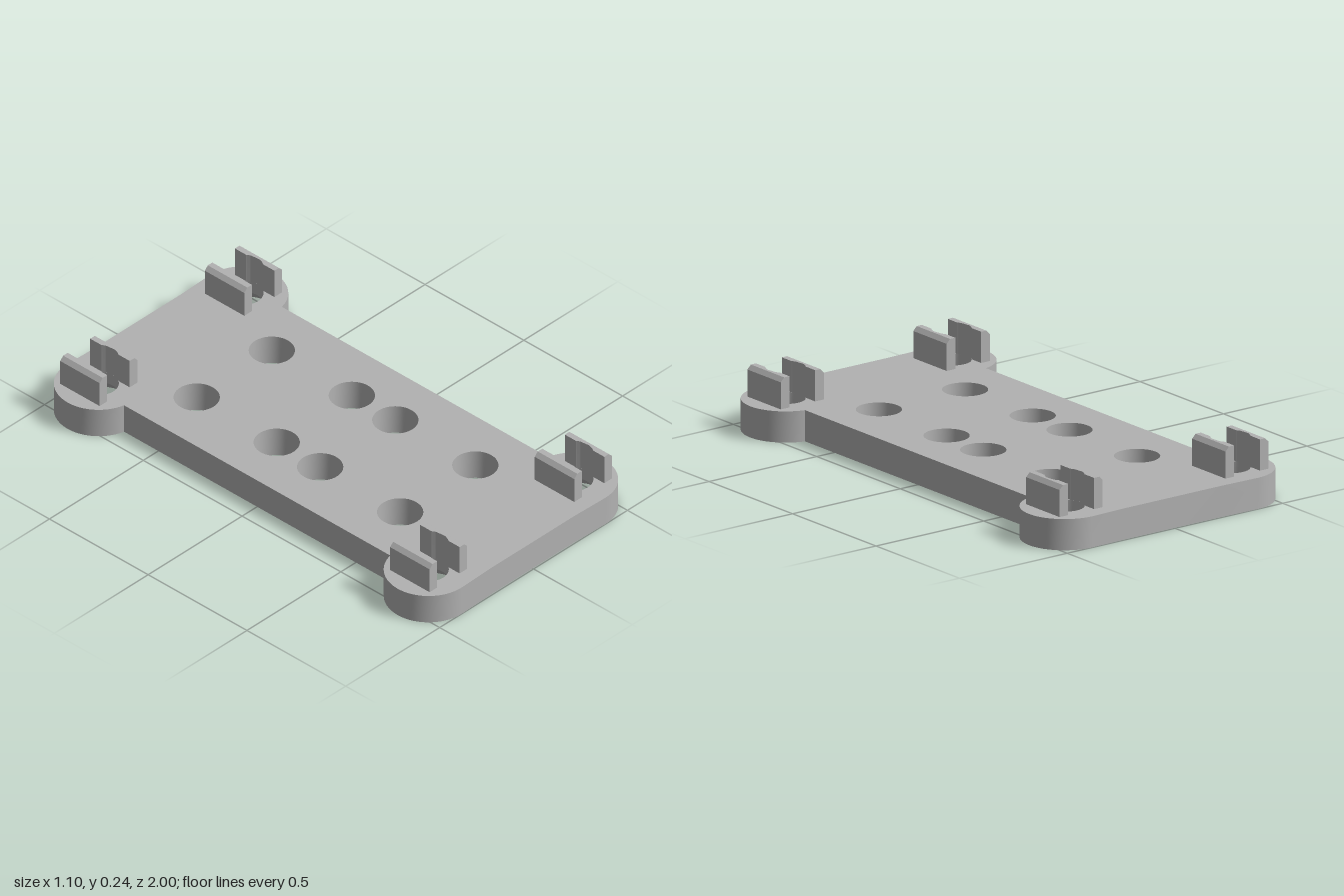
import * as THREE from 'three';
import { mergeGeometries, toCreasedNormals } from 'three/addons/utils/BufferGeometryUtils.js';

const PLATE_H = 0.12, TOTAL_H = 0.24;
const LOBE = { x: 0.385, z: 0.835, r: 0.165 };
const SCREW_R = 0.074, SINK_R = 0.143, SINK_H = 0.07;
const V = (x, y) => new THREE.Vector2(x, y);
const SIGNS = [-1, 1];

// Clockwise ring of plan points, so its wall faces into the hole
function ring(cx, cy, r, n = 48) {
  return Array.from({ length: n }, (_, i) => {
    const a = -i / n * Math.PI * 2;
    return V(cx + r * Math.cos(a), cy + r * Math.sin(a));
  });
}

// Wall between two matching plan loops at two heights
function wall(low, high, y0, y1) {
  const p = [];
  for (let i = 0; i < low.length; i++) {
    const j = (i + 1) % low.length;
    const a = [low[i].x, y0, -low[i].y], b = [low[j].x, y0, -low[j].y];
    const c = [high[j].x, y1, -high[j].y], d = [high[i].x, y1, -high[i].y];
    p.push(...a, ...b, ...c, ...a, ...c, ...d);
  }
  return new THREE.BufferGeometry().setAttribute('position', new THREE.Float32BufferAttribute(p, 3));
}

// Flat face of the plate with its holes, facing up or down
function cap(outline, holes, y, up) {
  const shape = new THREE.Shape(outline);
  holes.forEach(h => shape.holes.push(new THREE.Path(h)));
  const g = new THREE.ShapeGeometry(shape).toNonIndexed();
  g.deleteAttribute('uv');
  g.deleteAttribute('normal');
  return g.rotateX(up ? -Math.PI / 2 : Math.PI / 2).translate(0, y, 0);
}

// Outline: one corner lobe, mirrored across, then turned half round
function plateOutline() {
  const start = -Math.acos(0.035 / LOBE.r), n = 28, corner = [];
  for (let i = 0; i <= n; i++) {
    const a = start + (Math.PI / 2 - start) * i / n;
    corner.push(V(LOBE.x + LOBE.r * Math.cos(a), LOBE.z + LOBE.r * Math.sin(a)));
  }
  corner.push(V(0.22, 0.995));
  const half = [...corner, ...corner.slice().reverse().map(p => V(-p.x, p.y))];
  return [...half, ...half.map(p => V(-p.x, -p.y))];
}

function plateGeometry() {
  const outline = plateOutline();
  const plain = [], screw = [], sink = [];
  for (const sx of SIGNS) for (const sz of SIGNS) {
    for (const z of [0.11, 0.515]) plain.push(ring(sx * 0.2, sz * z, 0.085));
    screw.push(ring(sx * LOBE.x, sz * LOBE.z, SCREW_R));
    sink.push(ring(sx * LOBE.x, sz * LOBE.z, SINK_R));
  }
  const parts = [
    cap(outline, [...plain, ...screw], PLATE_H, true),
    cap(outline, [...plain, ...sink], 0, false),
    wall(outline, outline, 0, PLATE_H),
    ...plain.map(h => wall(h, h, 0, PLATE_H)),
    // Countersunk cone below, straight bore above
    ...screw.map((h, i) => wall(sink[i], h, 0, SINK_H)),
    ...screw.map(h => wall(h, h, SINK_H, PLATE_H)),
  ];
  return toCreasedNormals(mergeGeometries(parts), 0.5);
}

// Upright clip beside a screw hole: grooved inside, chamfered on the outer top edge
function clipGeometry() {
  const inner = 0.06, outer = 0.1, half = 0.1, chamfer = 0.016;
  const a = Math.acos(inner / SCREW_R);
  const shape = new THREE.Shape();
  shape.moveTo(outer, -half);
  shape.lineTo(outer, half);
  shape.lineTo(inner, half);
  shape.lineTo(inner, SCREW_R * Math.sin(a));
  shape.absarc(0, 0, SCREW_R, a, -a, true);
  shape.lineTo(inner, -half);
  const h = TOTAL_H - PLATE_H;
  const g = new THREE.ExtrudeGeometry(shape, { depth: h, steps: 2, bevelEnabled: false, curveSegments: 10 });
  g.rotateX(-Math.PI / 2);
  const p = g.attributes.position;
  for (let i = 0; i < p.count; i++) {
    const y = p.getY(i);
    if (y > h * 0.75) {
      if (p.getX(i) > outer - 0.001) p.setX(i, outer - chamfer);
    } else if (y > h * 0.25) p.setY(i, h - chamfer);
  }
  return toCreasedNormals(g, 0.5);
}

export function createModel() {
  const group = new THREE.Group();
  group.name = 'mountingPlate';
  const grey = new THREE.MeshStandardMaterial({ color: 0xb2b2b2 });
  grey.name = 'grey';

  const plate = new THREE.Mesh(plateGeometry(), grey);
  plate.name = 'basePlate';
  group.add(plate);

  // A facing pair of clips at each corner hole
  const clip = clipGeometry();
  for (const sx of SIGNS) for (const sz of SIGNS) {
    const pair = new THREE.Group();
    pair.name = 'clipPair';
    pair.position.set(sx * LOBE.x, PLATE_H, sz * LOBE.z);
    for (const turn of [0, Math.PI]) {
      const mesh = new THREE.Mesh(clip, grey);
      mesh.name = 'clip';
      mesh.rotation.y = turn;
      pair.add(mesh);
    }
    group.add(pair);
  }
  return group;
}
